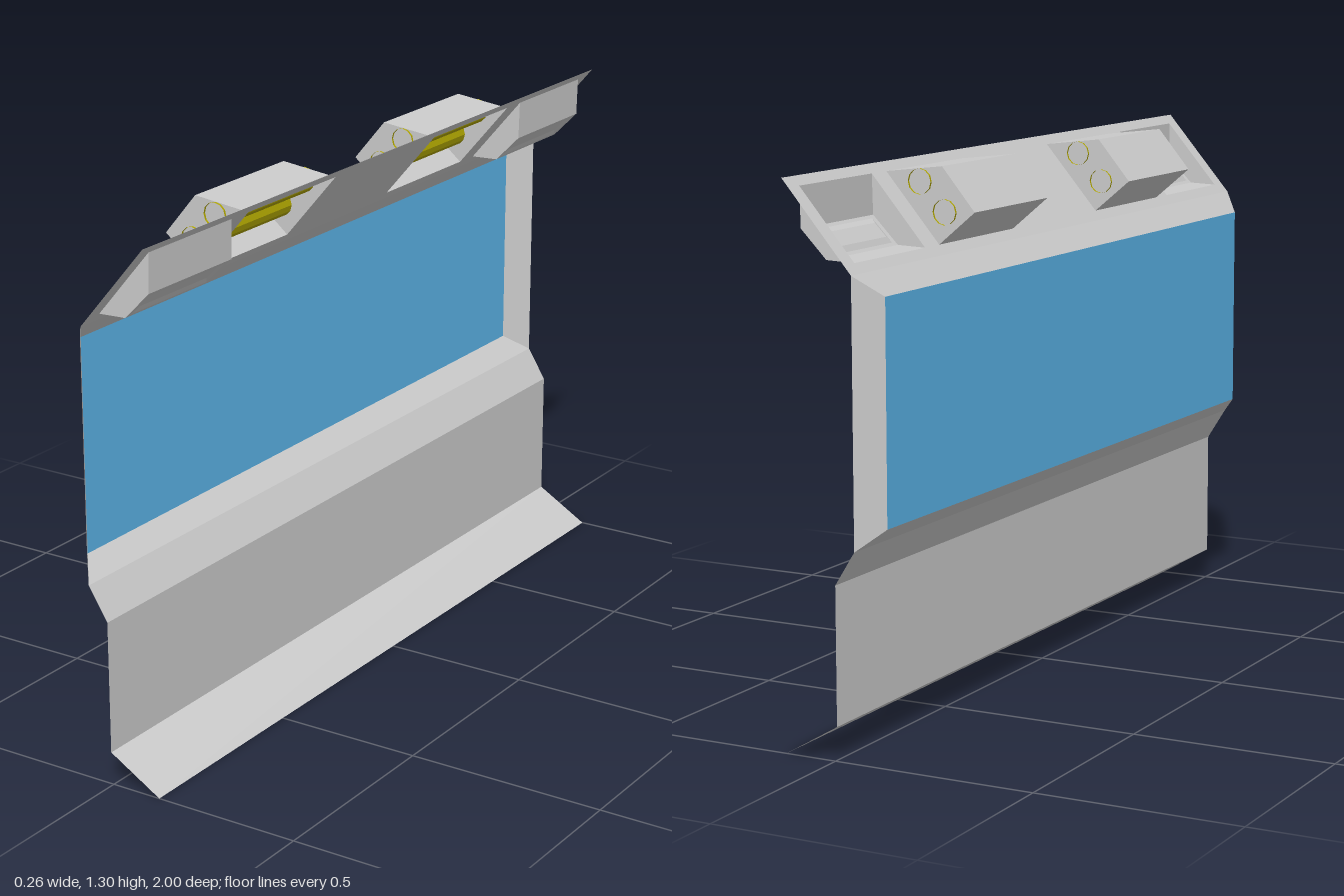
import * as THREE from 'three';

const grey = new THREE.MeshStandardMaterial({ color: 0xcccccc, side: THREE.DoubleSide });
const blue = new THREE.MeshStandardMaterial({ color: 0x5cb6eb, side: THREE.DoubleSide });
const yellow = new THREE.MeshStandardMaterial({ color: 0xb0a600, side: THREE.DoubleSide, flatShading: true });

// Flat-shaded sheet made of four-cornered faces, each corner being [x, y, z]
function sheet(name, quads, material = grey) {
  const pos = [];
  for (const [a, b, c, d] of quads) pos.push(...a, ...b, ...c, ...a, ...c, ...d);
  const g = new THREE.BufferGeometry();
  g.setAttribute('position', new THREE.Float32BufferAttribute(pos, 3));
  g.computeVertexNormals();
  const m = new THREE.Mesh(g, material);
  m.name = name;
  return m;
}

// Sweep an open [x, y] profile along z
const strip = (pts, z0, z1) => pts.slice(1).map((q, i) => {
  const p = pts[i];
  return [[...p, z1], [...p, z0], [...q, z0], [...q, z1]];
});

// Four faces joining two four-cornered loops
const ring = (a, b) => a.map((p, i) => {
  const j = (i + 1) % 4;
  return [p, a[j], b[j], b[i]];
});

// Sloped header panel runs from LOW to HIGH
const LOW = [-0.055, 1.1], HIGH = [0.12, 1.305];
const onPanel = (t) => [0, 1].map((k) => LOW[k] + (HIGH[k] - LOW[k]) * t);
const T0 = 0.105, T1 = 0.9;
const A = onPanel(T0), B = onPanel(T1);
const LAMP = [0.222, 0.58], TRAY = [0.645, 0.955];

function headerPanel() {
  const shape = new THREE.Shape([[-1, 0], [1, 0], [1, 1], [-1, 1]].map((p) => new THREE.Vector2(...p)));
  for (const s of [1, -1]) for (const [z0, z1] of [LAMP, TRAY]) {
    shape.holes.push(new THREE.Path([[z0, T0], [z0, T1], [z1, T1], [z1, T0]]
      .map(([z, t]) => new THREE.Vector2(s * z, t))));
  }
  const g = new THREE.ShapeGeometry(shape);
  const p = g.attributes.position;
  for (let i = 0; i < p.count; i++) p.setXYZ(i, ...onPanel(p.getY(i)), p.getX(i));
  g.computeVertexNormals();
  const m = new THREE.Mesh(g, grey);
  m.name = 'headerPanel';
  return m;
}

// Flat end wall filling a [x, y] outline
function endWall(name, pts, z) {
  const m = new THREE.Mesh(new THREE.ShapeGeometry(new THREE.Shape(pts.map((p) => new THREE.Vector2(...p)))), grey);
  m.position.z = z;
  m.name = name;
  return m;
}

// Housing behind the panel, open towards the room, with two tubes
function lampUnit() {
  const g = new THREE.Group();
  const profile = [A, [-0.13, 1.2], [-0.045, 1.302], B];
  const [z0, z1] = LAMP;
  g.add(sheet('lampHousing', strip(profile, z0, z1)));
  for (const z of LAMP) g.add(endWall('lampHousingEnd', profile, z));
  for (const [x, y] of [[-0.053, 1.197], [0.012, 1.265]]) {
    const tube = new THREE.Mesh(new THREE.CylinderGeometry(0.03, 0.03, z1 - z0 + 0.012, 12, 1, true), yellow);
    tube.rotation.x = Math.PI / 2;
    tube.position.set(x, y, (z0 + z1) / 2);
    tube.name = 'lampTube';
    g.add(tube);
  }
  return g;
}

// Tray hanging below the panel, open at the back, with a shallow slot
function trayUnit() {
  const g = new THREE.Group();
  const C = [0.035, 1.124], D = [0.1, 1.19];
  const [z0, z1] = TRAY;
  // rectangle on the sloping face, inset and pushed inwards
  const rect = (s, inset, depth) => {
    const at = (t) => [C[0] + (D[0] - C[0]) * t - depth, C[1] + (D[1] - C[1]) * t + depth];
    return [[...at(s), z0 + inset], [...at(1 - s), z0 + inset], [...at(1 - s), z1 - inset], [...at(s), z1 - inset]];
  };
  const rim = rect(0.1, 0.015, 0), floor = rect(0.27, 0.027, 0.003);
  g.add(sheet('trayShell', [...strip([A, C], z0, z1), ...strip([D, B], z0, z1), ...ring(rect(0, 0, 0), rim)]));
  g.add(sheet('traySlot', [...ring(rim, floor), floor]));
  for (const z of TRAY) g.add(endWall('trayEnd', [A, C, D, B], z));
  return g;
}

export function createModel() {
  const model = new THREE.Group();
  model.name = 'wallWindowSegment';

  // Lower wall with a flared skirt and a sloping shoulder under the window
  model.add(sheet('lowerWall', strip([[0.13, 0], [-0.005, 0.08], [-0.005, 0.405], [-0.055, 0.485]], -1, 1)));

  // Bevelled window surround and pane
  const rect = (x, y0, y1, z) => [[x, y0, z], [x, y0, -z], [x, y1, -z], [x, y1, z]];
  const pane = rect(-0.105, 0.53, 1.05, 0.94);
  model.add(sheet('windowSurround', ring(rect(-0.055, 0.485, 1.1, 1), pane)));
  model.add(sheet('windowPane', [pane], blue));

  // Header with lamps and trays mirrored about the middle
  model.add(headerPanel());
  for (const s of [1, -1]) {
    const half = new THREE.Group();
    half.name = s > 0 ? 'frontFittings' : 'backFittings';
    half.add(lampUnit(), trayUnit());
    half.scale.z = s;
    model.add(half);
  }
  return model;
}
